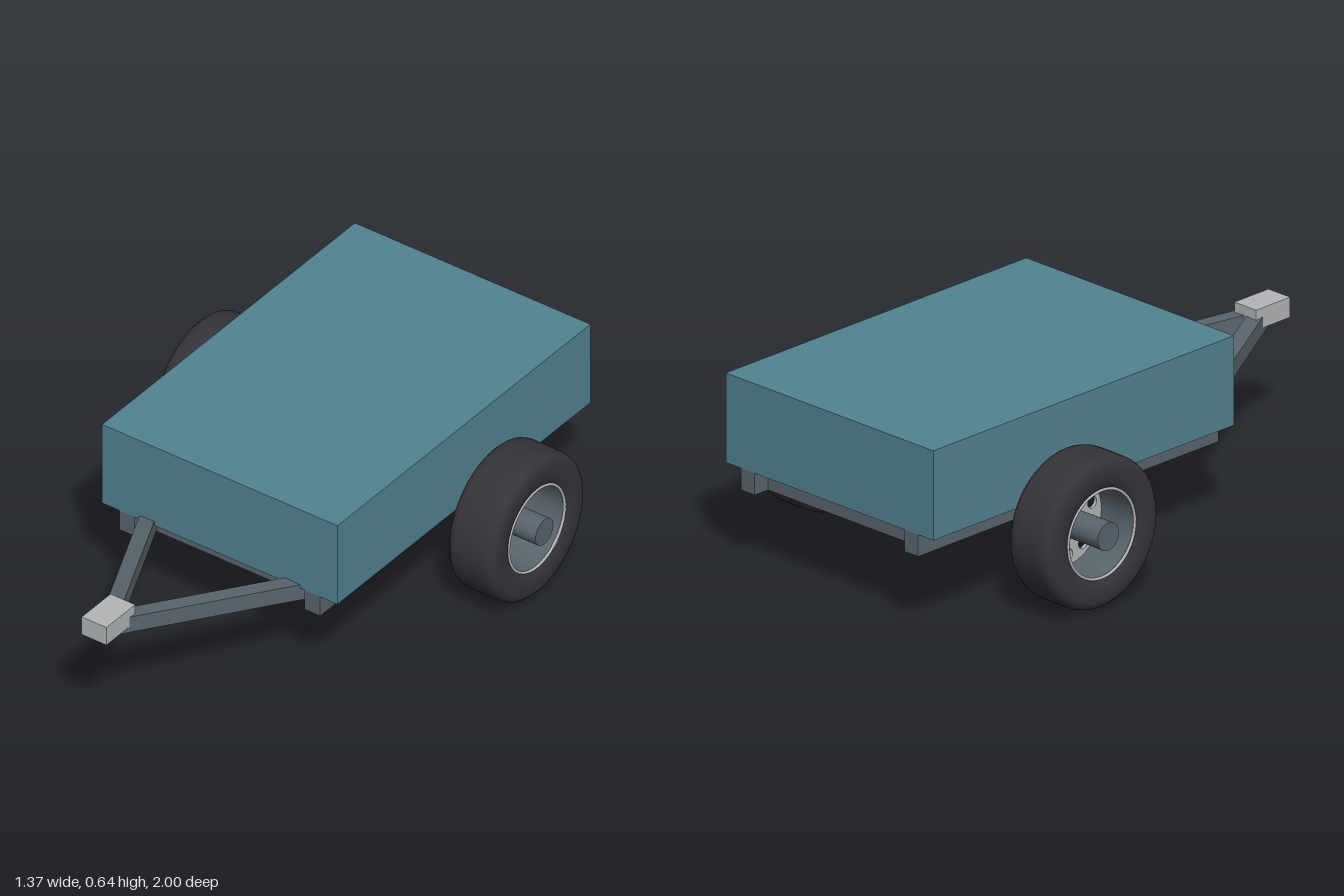
import * as THREE from 'three';

const paint = (name, color, side = THREE.FrontSide) => {
  const m = new THREE.MeshStandardMaterial({ color, side });
  m.name = name;
  return m;
};

export function createModel() {
  const teal = paint('teal', 0x528391);
  const steel = paint('steel', 0x5a656c, THREE.DoubleSide);
  const silver = paint('silver', 0xb2b5b7);
  const rubber = paint('rubber', 0x35343a);

  const model = new THREE.Group();
  model.name = 'trailer';

  const add = (parent, name, geometry, material, x = 0, y = 0, z = 0) => {
    const mesh = new THREE.Mesh(geometry, material);
    mesh.name = name;
    mesh.position.set(x, y, z);
    parent.add(mesh);
    return mesh;
  };
  const box = (name, mat, w, h, d, x, y, z) =>
    add(model, name, new THREE.BoxGeometry(w, h, d), mat, x, y, z);

  // Closed cargo box
  box('cargoBox', teal, 0.914, 0.303, 1.336, 0, 0.4905, -0.332);

  // Ladder frame: two rails with cross members set in from the ends
  for (const s of [-1, 1]) box('sideRail', steel, 0.06, 0.074, 1.336, s * 0.36, 0.302, -0.332);
  for (const z of [0.245, -0.91]) box('crossMember', steel, 0.66, 0.074, 0.06, 0, 0.302, z);

  // V-shaped drawbar rising to the coupler
  for (const s of [-1, 1]) {
    const rear = new THREE.Vector3(s * 0.325, 0.312, 0.25);
    const front = new THREE.Vector3(s * 0.006, 0.406, 0.905);
    const mid = rear.clone().add(front).multiplyScalar(0.5);
    const bar = box('drawbar', steel, 0.052, 0.058, rear.distanceTo(front), mid.x, mid.y, mid.z);
    bar.lookAt(front);
  }
  box('coupler', silver, 0.096, 0.068, 0.152, 0, 0.427, 0.924);

  // Axle
  const axleY = 0.257, axleZ = -0.45;
  box('axle', steel, 0.96, 0.05, 0.05, 0, axleY, axleZ);

  // Wheel profiles: radius, distance along the axle from the tyre's middle
  const lathe = (pts) =>
    new THREE.LatheGeometry(pts.map(([r, y]) => new THREE.Vector2(r, y)), 48).rotateZ(-Math.PI / 2);
  const tyreGeo = lathe([
    [0.15, -0.078], [0.165, -0.086], [0.19, -0.091], [0.222, -0.09], [0.238, -0.085], [0.248, -0.075],
    [0.253, -0.06], [0.254, -0.03], [0.254, 0.03], [0.253, 0.06], [0.248, 0.075], [0.238, 0.085],
    [0.222, 0.09], [0.19, 0.091], [0.165, 0.086], [0.15, 0.078],
  ]);
  const barrelGeo = lathe([[0.149, -0.08], [0.146, 0], [0.149, 0.08]]);
  const lipGeo = new THREE.TorusGeometry(0.148, 0.005, 8, 48).rotateY(Math.PI / 2);

  // Rim disc pierced by a ring of round holes
  const disc = new THREE.Shape().absarc(0, 0, 0.147, 0, Math.PI * 2);
  for (let i = 0; i < 10; i++) {
    const a = ((i + 0.5) / 10) * Math.PI * 2;
    disc.holes.push(new THREE.Path().absarc(Math.cos(a) * 0.112, Math.sin(a) * 0.112, 0.02, 0, Math.PI * 2, true));
  }
  const discGeo = new THREE.ExtrudeGeometry(disc, { depth: 0.012, bevelEnabled: false, curveSegments: 24 })
    .rotateY(Math.PI / 2);
  const cylinder = (r, length) => new THREE.CylinderGeometry(r, r, length, 32).rotateZ(Math.PI / 2);
  const hubGeo = cylinder(0.047, 0.19);
  const innerHubGeo = cylinder(0.035, 0.04);

  for (const s of [-1, 1]) {
    const wheel = new THREE.Group();
    wheel.name = s > 0 ? 'leftWheel' : 'rightWheel';
    wheel.position.set(s * 0.5735, axleY, axleZ);
    if (s < 0) wheel.rotation.y = Math.PI;
    add(wheel, 'tyre', tyreGeo, rubber);
    add(wheel, 'rimBarrel', barrelGeo, steel);
    add(wheel, 'rimDisc', discGeo, silver, -0.079);
    for (const x of [-0.079, 0.079]) add(wheel, 'rimLip', lipGeo, silver, x);
    add(wheel, 'hub', hubGeo, steel, 0.0145);
    add(wheel, 'innerHub', innerHubGeo, steel, -0.08);
    model.add(wheel);
  }
  return model;
}
